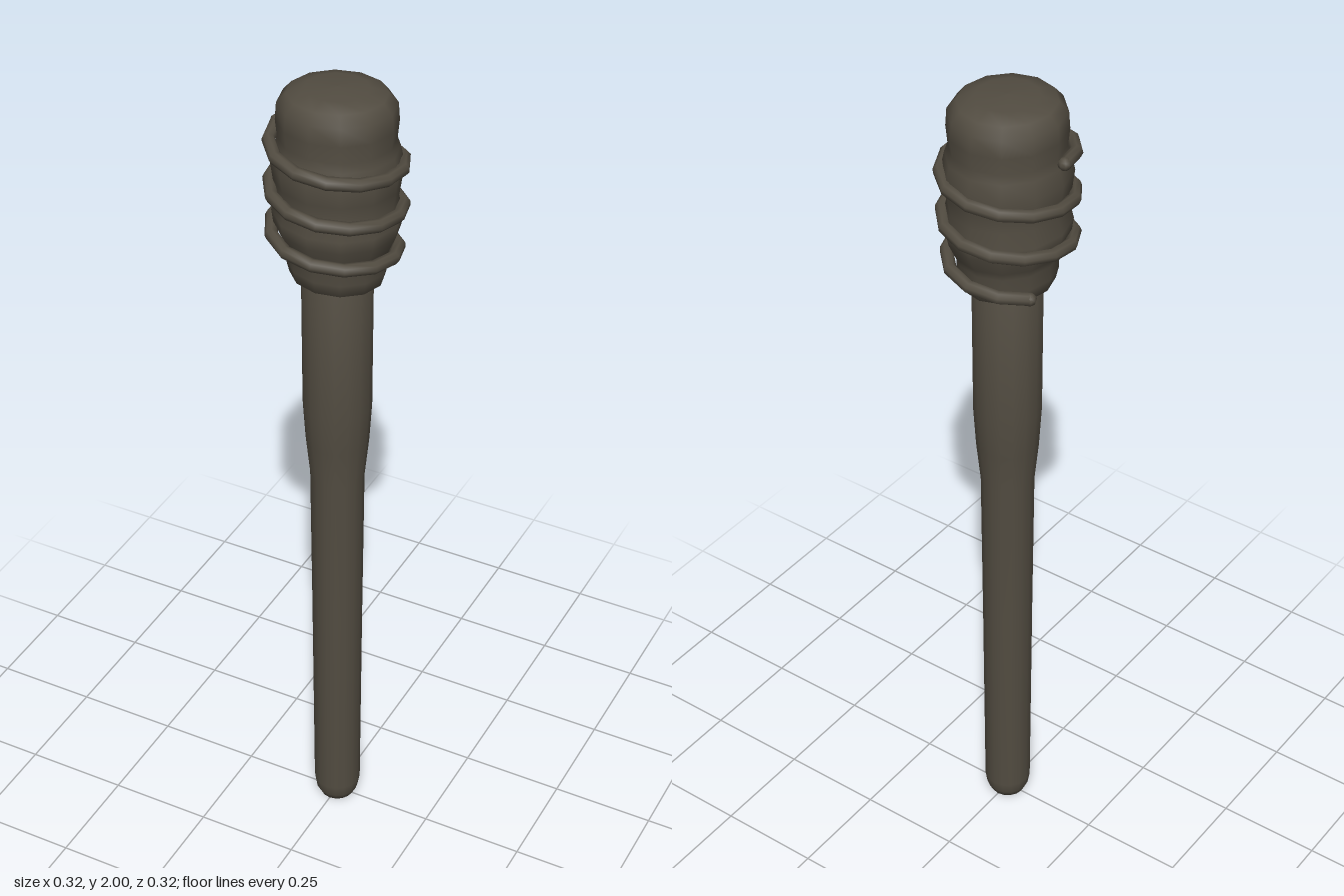
import * as THREE from 'three';

const wood = new THREE.MeshStandardMaterial({ color: 0x524c41 });
wood.name = 'dark brown';

// Turned part from [radius, height] pairs, bottom to top
function turned(name, profile, sides) {
  const geometry = new THREE.LatheGeometry(profile.map(([r, y]) => new THREE.Vector2(r, y)), sides);
  const mesh = new THREE.Mesh(geometry, wood);
  mesh.name = name;
  return mesh;
}

// Helix that starts at the right side, passes the front and sinks as it turns
class Coil extends THREE.Curve {
  constructor(turns, top, pitch) {
    super();
    Object.assign(this, { turns, top, pitch });
  }
  getPoint(t, target = new THREE.Vector3()) {
    const turn = t * this.turns;
    const a = Math.PI + turn * Math.PI * 2;
    const r = 0.145 - 0.008 * Math.max(0, turn - 1.7);
    return target.set(r * Math.cos(a) - 0.002 * turn, this.top - this.pitch * turn, -r * Math.sin(a));
  }
}

export function createModel() {
  const model = new THREE.Group();
  model.name = 'torch';

  // Handle, wider towards the head
  model.add(turned('handle', [
    [0, 0], [0.042, 0], [0.052, 0.02], [0.057, 0.05], [0.06, 0.6], [0.063, 1.0],
    [0.073, 1.1], [0.079, 1.2], [0.08, 1.56], [0, 1.57],
  ], 16));

  // Wrapped head, slightly askew
  const head = turned('head', [
    [0, 1.535], [0.085, 1.533], [0.105, 1.545], [0.112, 1.575], [0.112, 1.61], [0.12, 1.63],
    [0.138, 1.67], [0.142, 1.70], [0.132, 1.74], [0.138, 1.78], [0.143, 1.82], [0.134, 1.86],
    [0.127, 1.88], [0.131, 1.92], [0.128, 1.96], [0.108, 1.983], [0.07, 1.994], [0, 1.997],
  ], 12);
  const p = head.geometry.attributes.position;
  for (let i = 0; i < p.count; i++) {
    p.setY(i, p.getY(i) + 0.04 * p.getZ(i) - 0.05 * p.getX(i) * (2 - p.getY(i)) / 0.47);
  }
  head.geometry.computeBoundingSphere();
  model.add(head);

  // Cord wound around the head
  const coil = new Coil(2.9, 1.88, 0.105);
  const cord = new THREE.Mesh(new THREE.TubeGeometry(coil, 38, 0.015, 8), wood);
  cord.name = 'cord';
  model.add(cord);

  // Rounded cord ends
  for (const t of [0, 1]) {
    const end = new THREE.Mesh(new THREE.SphereGeometry(0.015, 8, 6), wood);
    end.name = 'cordEnd';
    end.position.copy(coil.getPoint(t));
    model.add(end);
  }
  return model;
}
